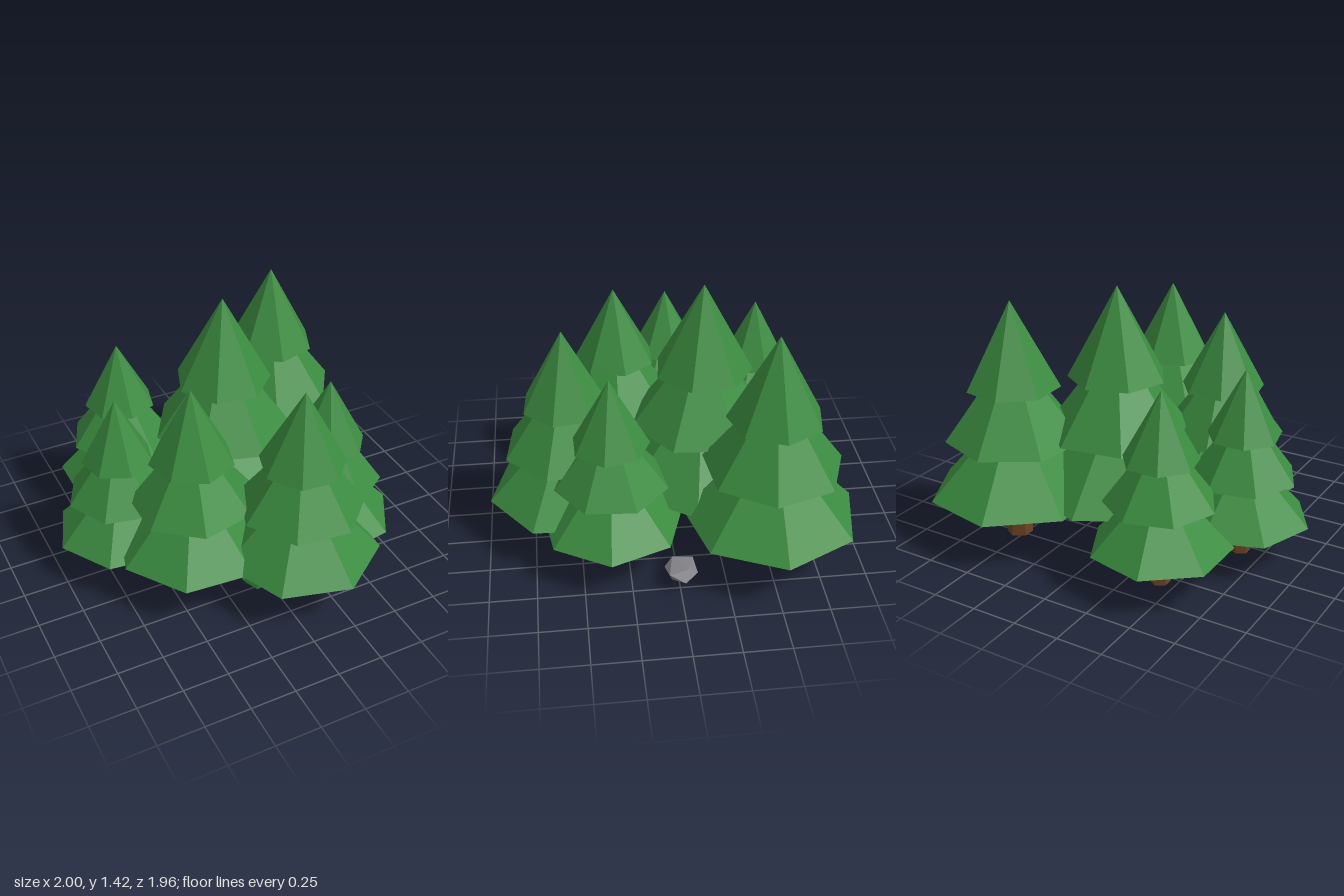
import * as THREE from 'three';

const mat = (name, color) => Object.assign(new THREE.MeshStandardMaterial({ color, flatShading: true }), { name });

export function createModel() {
  const foliage = mat('foliage green', 0x3b8c40);
  const bark = mat('bark brown', 0x6b4423);
  const shrub = mat('bush green', 0x2f7d36);
  const stone = mat('stone grey', 0x7f7f85);
  const group = new THREE.Group();
  group.name = 'forestClump';

  const add = (parent, name, geometry, material, x, y, z) => {
    const mesh = new THREE.Mesh(geometry, material);
    mesh.name = name;
    mesh.position.set(x, y, z);
    parent.add(mesh);
    return mesh;
  };

  // Tier proportions for a tree of height 1: base height, radius, cone height
  const tiers = [
    ['lowerBranches', 0.2, 0.357, 0.38],
    ['middleBranches', 0.433, 0.281, 0.38],
    ['upperBranches', 0.648, 0.19, 0.352],
  ];

  // Seven-sided conifer; turns give the angle in degrees of a corner on each tier
  function tree(x, z, top, turns) {
    const t = new THREE.Group();
    t.name = 'tree';
    t.position.set(x, 0.02, z);
    const h = top - 0.02;
    add(t, 'trunk', new THREE.CylinderGeometry(0.053 * h, 0.053 * h, 0.25 * h, 6), bark, 0, 0.125 * h, 0);
    tiers.forEach(([name, y, r, len], i) => {
      const start = THREE.MathUtils.degToRad(90 - turns[i]);
      const cone = new THREE.ConeGeometry(r * h, len * h, 7, 1, false, start);
      add(t, name, cone, foliage, 0, (y + len / 2) * h, 0);
    });
    group.add(t);
  }

  tree(0.06, -0.2, 1.43, [9.6, 30, 20]);
  tree(0.52, -0.51, 1.36, [-1.2, 7, -3]);
  tree(-0.34, 0.25, 1.23, [17, 0, 40]);
  tree(0.15, 0.55, 1.25, [28, 19.6, 17]);
  tree(0.43, 0.33, 1.11, [4.5, 30, 12]);
  tree(-0.63, -0.07, 1.06, [19.7, 25, 39]);
  tree(-0.42, -0.57, 1.07, [0, 22, 39]);

  // Irregular faceted lump, fitted to the given size
  function lump(name, material, seed, center, size) {
    const g = new THREE.IcosahedronGeometry(1, 0);
    const p = g.attributes.position;
    const v = new THREE.Vector3();
    for (let i = 0; i < p.count; i++) {
      v.fromBufferAttribute(p, i);
      v.multiplyScalar(1 + 0.2 * Math.sin(v.x * 7.1 + v.y * 13.3 + v.z * 5.7 + seed));
      p.setXYZ(i, v.x, v.y, v.z);
    }
    g.rotateY(seed);
    g.center();
    const box = g.boundingBox.getSize(v);
    g.scale(size[0] / box.x, size[1] / box.y, size[2] / box.z);
    g.computeVertexNormals();
    add(group, name, g, material, ...center);
  }

  lump('bush', shrub, 1.3, [-0.54, 0.095, 0], [0.26, 0.18, 0.2]);
  lump('bush', shrub, 2.6, [-0.07, 0.11, 0.52], [0.22, 0.13, 0.18]);
  lump('bush', shrub, 4.1, [0.085, 0.105, 0.57], [0.17, 0.15, 0.18]);
  lump('rock', stone, 0.7, [0.705, 0.09, -0.01], [0.21, 0.075, 0.17]);

  return group;
}
